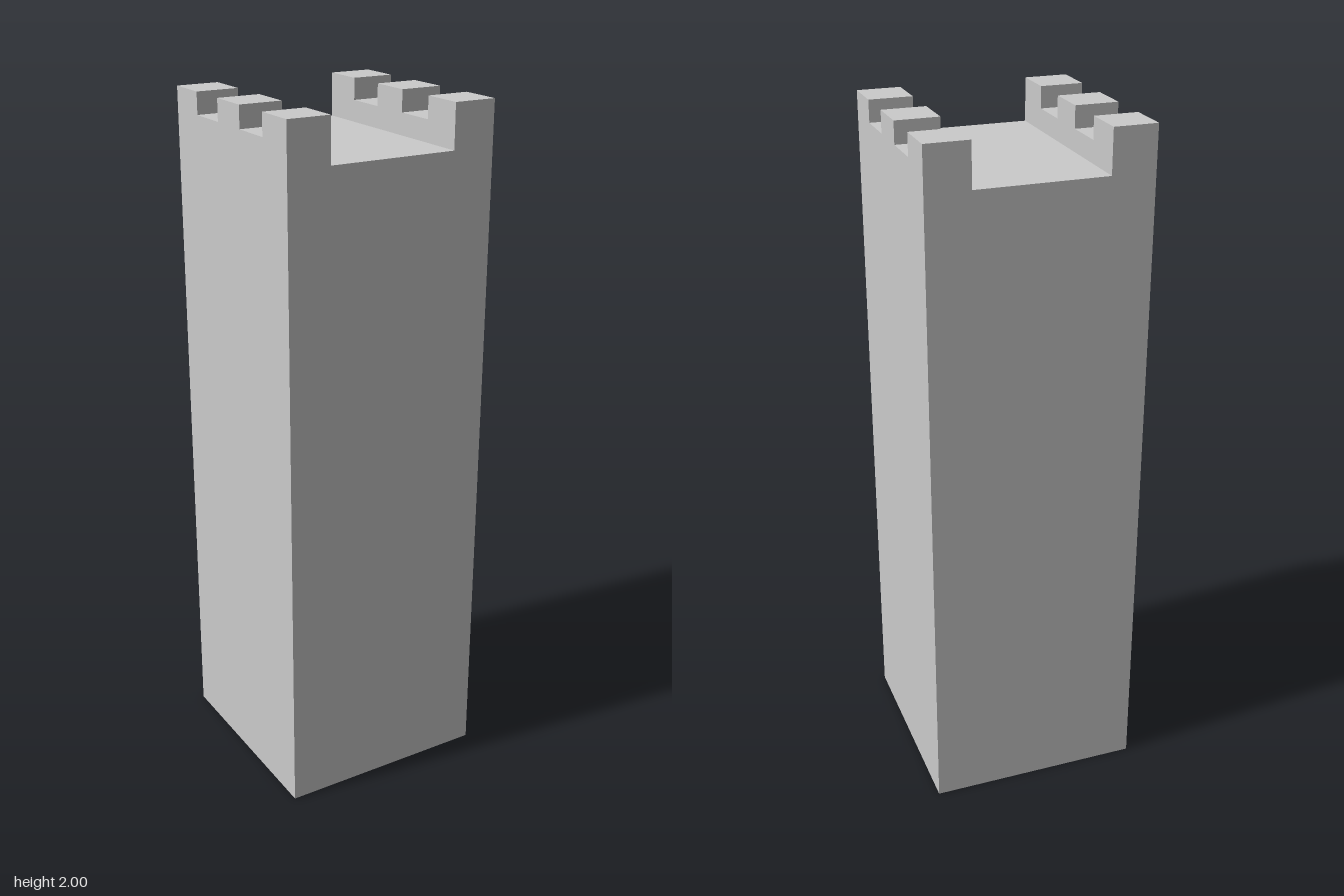
import * as THREE from 'three';

const UNIT = 0.125;          // thickness of a wall, merlon and gap
const WIDTH = 5 * UNIT;
const FLOOR = 1.875;         // height of the roof floor
const SILL = 1.9375;         // bottom of the gaps
const TOP = 2;

export function createModel() {
  const tower = new THREE.Group();
  tower.name = 'tower';
  const material = new THREE.MeshStandardMaterial({ color: 0xcccccc, flatShading: true });

  // Square shaft up to the roof floor
  const shaft = new THREE.Mesh(new THREE.BoxGeometry(WIDTH, FLOOR, WIDTH), material);
  shaft.name = 'shaft';
  shaft.position.y = FLOOR / 2;
  tower.add(shaft);

  // Battlement outline: three merlons with two gaps between them
  const outline = new THREE.Shape();
  outline.moveTo(-WIDTH / 2, FLOOR);
  outline.lineTo(WIDTH / 2, FLOOR);
  for (let i = 5; i > 0; i--) {
    const y = i % 2 ? TOP : SILL;
    outline.lineTo(i * UNIT - WIDTH / 2, y);
    outline.lineTo((i - 1) * UNIT - WIDTH / 2, y);
  }
  outline.closePath();

  const battlement = new THREE.ExtrudeGeometry(outline, { depth: UNIT, bevelEnabled: false });
  battlement.translate(0, 0, -UNIT / 2).rotateY(-Math.PI / 2);

  // One battlement along each side, front and back left open
  for (const [name, side] of [['leftBattlement', 1], ['rightBattlement', -1]]) {
    const wall = new THREE.Mesh(battlement, material);
    wall.name = name;
    wall.position.x = side * (WIDTH - UNIT) / 2;
    tower.add(wall);
  }

  return tower;
}
